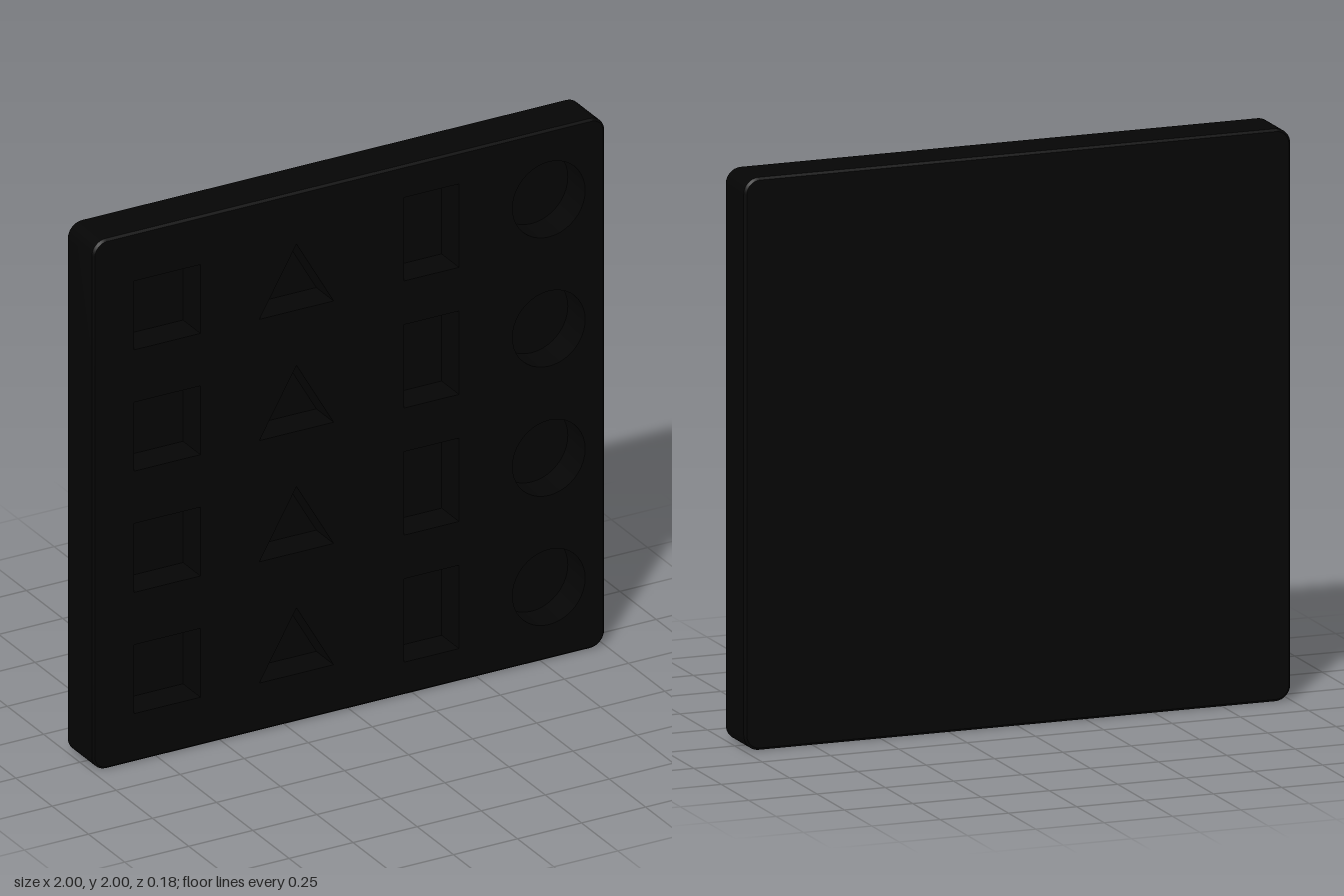
import * as THREE from 'three';
import { toCreasedNormals } from 'three/addons/utils/BufferGeometryUtils.js';

const HALF = 0.09;    // half the board thickness
const DEPTH = 0.12;   // depth of the recesses
const BEVEL = 0.008;  // softened front and back edges
const material = new THREE.MeshStandardMaterial({ color: 0x050505 });

const rectangle = (w, h) => [[-w, -h], [w, -h], [w, h], [-w, h]].map(([x, y]) => new THREE.Vector2(x / 2, y / 2));

const circle = (r, n = 40) => Array.from({ length: n }, (_, i) => {
  const a = (i / n) * Math.PI * 2;
  return new THREE.Vector2(Math.cos(a) * r, Math.sin(a) * r);
});

// Rounded square outline of the board, counter-clockwise
function boardOutline(half, r, steps = 8) {
  const pts = [];
  for (let c = 0; c < 4; c++) {
    const mid = Math.PI / 4 + c * Math.PI / 2;
    const cx = Math.sign(Math.cos(mid)) * (half - r), cy = Math.sign(Math.sin(mid)) * (half - r);
    for (let i = 0; i <= steps; i++) {
      const a = (c + i / steps) * Math.PI / 2;
      pts.push(new THREE.Vector2(cx + Math.cos(a) * r, cy + Math.sin(a) * r));
    }
  }
  return pts;
}

// Wall through matching outlines; rising z faces outward, falling z faces inward
function wall(rings) {
  const pos = [], index = [], n = rings[0].pts.length;
  rings.forEach(({ pts, z }) => pts.forEach(p => pos.push(p.x, p.y, z)));
  for (let k = 0; k < rings.length - 1; k++) {
    for (let i = 0; i < n; i++) {
      const a = k * n + i, b = k * n + (i + 1) % n;
      index.push(a, b, b + n, a, b + n, a + n);
    }
  }
  const g = new THREE.BufferGeometry();
  g.setAttribute('position', new THREE.Float32BufferAttribute(pos, 3));
  g.setIndex(index);
  g.computeVertexNormals();
  return toCreasedNormals(g, 0.6);
}

function addMesh(parent, name, geometry) {
  const mesh = new THREE.Mesh(geometry, material);
  mesh.name = name;
  parent.add(mesh);
  return mesh;
}

export function createModel() {
  const model = new THREE.Group();
  model.name = 'shapeBoard';

  // One column per shape: top row centre and row spacing
  const columns = [
    { name: 'squareRecess', pts: rectangle(0.26, 0.26), x: -0.71, y: 1.687, step: 0.458 },
    { name: 'triangleRecess', pts: [[-0.145, 0], [0.145, 0], [0, 0.25]].map(p => new THREE.Vector2(...p)), x: -0.205, y: 1.555, step: 0.458 },
    { name: 'rectangleRecess', pts: rectangle(0.215, 0.315), x: 0.322, y: 1.722, step: 0.48 },
    { name: 'circleRecess', pts: circle(0.142), x: 0.78, y: 1.737, step: 0.488 },
  ];

  const outer = boardOutline(1, 0.055);
  const inner = boardOutline(1 - BEVEL, 0.055 - BEVEL);
  const face = new THREE.Shape(inner);

  // Recess walls and floors, with matching openings in the front face
  for (const { name, pts, x, y, step } of columns) {
    for (let row = 0; row < 4; row++) {
      const recess = new THREE.Group();
      recess.name = name;
      recess.position.set(x, y - row * step, 0);
      addMesh(recess, 'recessWall', wall([{ pts, z: HALF }, { pts, z: HALF - DEPTH }]));
      addMesh(recess, 'recessFloor', new THREE.ShapeGeometry(new THREE.Shape(pts))).position.z = HALF - DEPTH;
      model.add(recess);
      const offset = new THREE.Vector2(x, y - row * step - 1);
      face.holes.push(new THREE.Path(pts.map(p => p.clone().add(offset))));
    }
  }

  // Board shell
  const board = new THREE.Group();
  board.name = 'board';
  board.position.y = 1;
  addMesh(board, 'boardEdge', wall([
    { pts: inner, z: -HALF }, { pts: outer, z: BEVEL - HALF },
    { pts: outer, z: HALF - BEVEL }, { pts: inner, z: HALF },
  ]));
  addMesh(board, 'frontFace', new THREE.ShapeGeometry(face)).position.z = HALF;
  const back = addMesh(board, 'backFace', new THREE.ShapeGeometry(new THREE.Shape(inner)));
  back.rotation.y = Math.PI;
  back.position.z = -HALF;
  model.add(board);

  return model;
}
